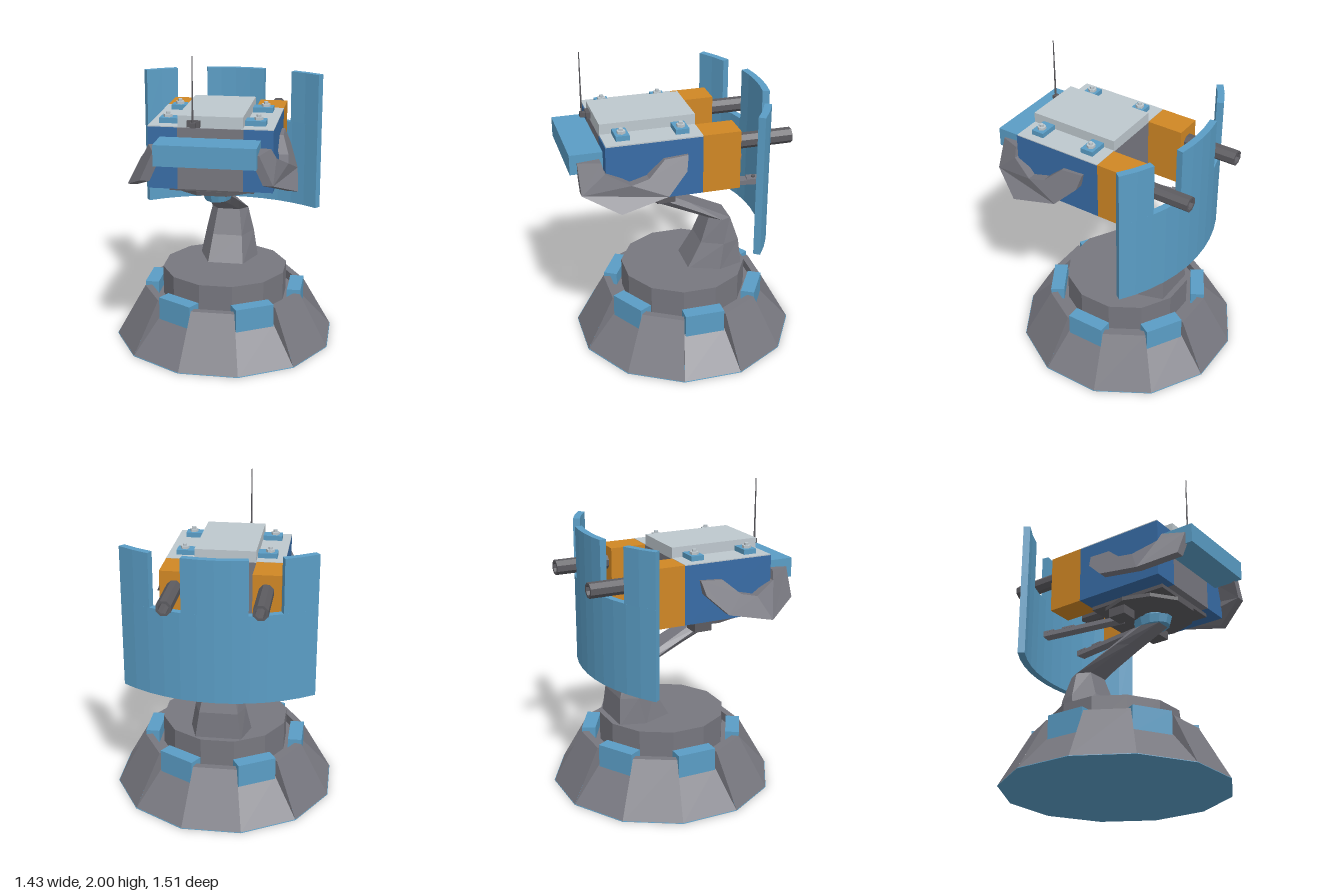
import * as THREE from 'three';

const paint = (name, color) => {
  const m = new THREE.MeshStandardMaterial({ color });
  m.name = name;
  return m;
};

export function createModel() {
  const grey = paint('grey', 0x77777f);
  const dark = paint('dark grey', 0x5c5b60);
  const blue = paint('light blue', 0x5a9dc5);
  const navy = paint('navy blue', 0x386ca6);
  const white = paint('pale grey', 0xbec8ce);
  const orange = paint('orange', 0xd08724);
  const root = new THREE.Group();
  root.name = 'turret';

  // Every part is faceted, so vertices are split and normals made per face
  const add = (name, geo, mat, parent = root) => {
    const g = geo.index ? geo.toNonIndexed() : geo;
    g.computeVertexNormals();
    const m = new THREE.Mesh(g, mat);
    m.name = name;
    parent.add(m);
    return m;
  };
  const box = (name, mat, x0, x1, y0, y1, z0, z1, parent) => {
    const m = add(name, new THREE.BoxGeometry(x1 - x0, y1 - y0, z1 - z0), mat, parent);
    m.position.set((x0 + x1) / 2, (y0 + y1) / 2, (z0 + z1) / 2);
    return m;
  };
  const cyl = (name, mat, rTop, rBottom, y0, y1, sides, x, z, parent) => {
    const g = new THREE.CylinderGeometry(rTop, rBottom, y1 - y0, sides, 1, false, Math.PI / sides);
    const m = add(name, g, mat, parent);
    m.position.set(x, (y0 + y1) / 2, z);
    return m;
  };
  // Polygons with corners counter-clockwise from outside
  const polygons = (polys) => {
    const p = [];
    for (const q of polys)
      for (let i = 1; i < q.length - 1; i++) p.push(...q[0], ...q[i], ...q[i + 1]);
    const g = new THREE.BufferGeometry();
    g.setAttribute('position', new THREE.Float32BufferAttribute(p, 3));
    return g;
  };

  // Base: twelve sides, alternately full and recessed behind a blue block
  const base = new THREE.Group();
  base.name = 'base';
  base.position.z = -0.04;
  root.add(base);
  const pair = (x, y, z) => [[-x, y, z], [x, y, z]];
  const [vL, vR] = pair(0.191, 0, 0.714);
  const [pL, pR] = pair(0.141, 0.345, 0.525);
  const [tL, tR] = pair(0.128, 0.345, 0.48);
  const [iL, iR] = pair(0.128, 0.28, 0.48);
  const [qL, qR] = pair(0.135, 0.23, 0.515);
  const fullSide = polygons([[vL, vR, pR, pL], [pL, pR, tR, tL], [iR, iL, tL, tR]]);
  const recessedSide = polygons([
    [vL, vR, qR, qL], [vR, pR, qR], [vL, qL, pL], [pR, tR, qR], [pL, qL, tL],
  ]);
  for (let i = 0; i < 6; i++) {
    const a = (i * Math.PI) / 3;
    add('baseSide', fullSide, grey, base).rotation.y = a;
    const recess = new THREE.Group();
    recess.name = 'baseRecess';
    recess.rotation.y = a + Math.PI / 6;
    base.add(recess);
    add('recessedSide', recessedSide, grey, recess);
    box('baseBlock', blue, -0.13, 0.13, 0.2, 0.37, 0.435, 0.526, recess);
  }
  cyl('baseDeck', grey, 0.51, 0.51, 0.24, 0.285, 12, 0, 0, base);
  cyl('baseTier', grey, 0.42, 0.42, 0.28, 0.48, 12, 0, 0, base);
  cyl('baseUnderside', blue, 0.738, 0.739, 0, 0.004, 12, 0, 0, base);

  // Neck: six-sided sections from the pedestal to the forward-leaning arm
  // [half width, front z, front y, back z, back y]
  const sections = [
    [0.2, -0.04, 0.47, -0.41, 0.47],
    [0.165, -0.14, 0.65, -0.395, 0.65],
    [0.125, -0.2, 0.82, -0.345, 0.81],
    [0.095, 0.1, 0.95, -0.06, 0.955],
    [0.08, 0.33, 1.045, 0.12, 1.045],
  ].map(([w, fz, fy, bz, by]) => {
    const mz = fz * 0.45 + bz * 0.55, my = fy * 0.45 + by * 0.55;
    return [
      [-w * 0.6, fy, fz], [w * 0.6, fy, fz], [w, my, mz],
      [w * 0.75, by, bz], [-w * 0.75, by, bz], [-w, my, mz],
    ];
  });
  const neck = [sections[sections.length - 1]];
  for (let i = 0; i < sections.length - 1; i++)
    for (let j = 0; j < 6; j++) {
      const k = (j + 1) % 6;
      neck.push([sections[i][j], sections[i][k], sections[i + 1][k], sections[i + 1][j]]);
    }
  add('neck', polygons(neck), grey);

  // Swivel joint and mounting plates
  cyl('swivelCollar', blue, 0.138, 0.122, 1.045, 1.1, 12, 0, 0.25).scale.x = 0.7;
  cyl('swivelHub', blue, 0.075, 0.075, 1.09, 1.16, 12, 0, 0.25).scale.x = 0.8;
  cyl('turntable', dark, 0.3, 0.3, 1.13, 1.156, 10, 0, 0.22);
  box('mountPlate', dark, -0.26, 0.26, 1.155, 1.182, -0.05, 0.5);

  // Body
  box('bodyCore', grey, -0.2, 0.2, 1.18, 1.562, -0.06, 0.55);
  box('bodyLid', white, -0.38, 0.38, 1.56, 1.568, -0.06, 0.545);
  box('raisedLid', white, -0.197, 0.197, 1.565, 1.635, -0.06, 0.545);
  box('frontBar', blue, -0.305, 0.305, 1.375, 1.503, 0.55, 0.755);

  // Side arm outline as [z, y]
  const armOutline = [
    [0.71, 1.45], [0.573, 1.46], [0.56, 1.4], [0.41, 1.33], [0.3, 1.355], [0.19, 1.45],
    [0.04, 1.46], [0.06, 1.37], [0.19, 1.245], [0.49, 1.18], [0.705, 1.27],
  ];
  // Barrel profile, hollow at the muzzle
  const barrelProfile = [[0, 0], [0.05, 0], [0.05, 0.38], [0.034, 0.38], [0.034, 0.12], [0, 0.12]]
    .map(([r, y]) => new THREE.Vector2(r, y));

  for (const s of [1, -1]) {
    const sideBox = (name, mat, x0, x1, ...rest) =>
      box(name, mat, Math.min(s * x0, s * x1), Math.max(s * x0, s * x1), ...rest);
    sideBox('bodySide', navy, 0.2, 0.38, 1.18, 1.562, -0.06, 0.55);
    sideBox('gunHousing', orange, 0.2, 0.38, 1.18, 1.566, -0.302, -0.06);
    sideBox('underBlock', dark, 0.135, 0.25, 1.07, 1.135, 0.08, 0.2);

    const barrel = add('barrel', new THREE.LatheGeometry(barrelProfile, 8, Math.PI / 8), dark);
    barrel.rotation.x = -Math.PI / 2;
    barrel.position.set(s * 0.287, 1.46, -0.28);

    // Arm, leaning outward below and bending inward at the front
    const shape = new THREE.Shape(armOutline.map(([z, y]) => new THREE.Vector2(-s * z, y)));
    const t = 0.06;
    const arm = new THREE.ExtrudeGeometry(shape, { depth: t, bevelEnabled: false });
    const p = arm.attributes.position;
    for (let i = 0; i < p.count; i++) {
      const z = -s * p.getX(i), y = p.getY(i);
      const outer = 0.4 + (1.46 - y) * 0.45 - Math.max(0, z - 0.5) * 0.43;
      p.setXYZ(i, s * (outer + p.getZ(i) - t), y, z);
    }
    add('sideArm', arm, grey);

    // Lid clamps with bolts
    for (const z of [0.055, 0.428]) {
      sideBox('clamp', blue, 0.2, 0.325, 1.565, 1.6, z - 0.043, z + 0.043);
      cyl('clampBolt', white, 0.028, 0.028, 1.6, 1.617, 6, s * 0.277, z);
      cyl('boltTip', white, 0.014, 0.014, 1.617, 1.632, 6, s * 0.277, z);
    }

    // Strut holding the shield
    const strut = new THREE.Group();
    strut.name = 'shieldStrut';
    strut.position.set(s * 0.15, 0, -0.24);
    strut.rotation.y = -s * 0.16;
    root.add(strut);
    box('strutBeam', grey, -0.035, 0.035, 1.103, 1.133, -0.28, 0.32, strut);
    for (const z of [-0.225, -0.07]) {
      box('strutPad', grey, -0.036, 0.036, 1.13, 1.142, z - 0.045, z + 0.045, strut);
      cyl('strutBolt', dark, 0.014, 0.014, 1.14, 1.153, 6, 0, z, strut);
    }
  }

  // Curved shield with two gun slots
  const R = 1.04, thick = 0.045;
  const shieldPanel = (name, x0, x1, y0, y1, segments) => {
    const a0 = Math.asin(x0 / R), a1 = Math.asin(x1 / R);
    const g = new THREE.BoxGeometry(a1 - a0, y1 - y0, thick, segments, 1, 1);
    g.translate((a0 + a1) / 2, (y0 + y1) / 2, thick / 2);
    const p = g.attributes.position;
    for (let i = 0; i < p.count; i++) {
      const a = p.getX(i), r = R - p.getZ(i);
      p.setXYZ(i, Math.sin(a) * r, p.getY(i), 0.475 - Math.cos(a) * r);
    }
    add(name, g, blue);
  };
  shieldPanel('shieldLower', -0.61, 0.61, 0.81, 1.39, 12);
  shieldPanel('shieldMiddle', -0.205, 0.205, 1.39, 1.737, 4);
  shieldPanel('shieldLeft', 0.41, 0.61, 1.39, 1.737, 2);
  shieldPanel('shieldRight', -0.61, -0.41, 1.39, 1.737, 2);

  // Antenna
  box('antennaBracket', dark, -0.137, -0.058, 1.57, 1.61, 0.54, 0.572);
  box('antennaFoot', dark, -0.112, -0.078, 1.575, 1.605, 0.57, 0.607);
  cyl('antennaRod', dark, 0.003, 0.006, 1.6, 2, 6, -0.096, 0.595);

  return root;
}
